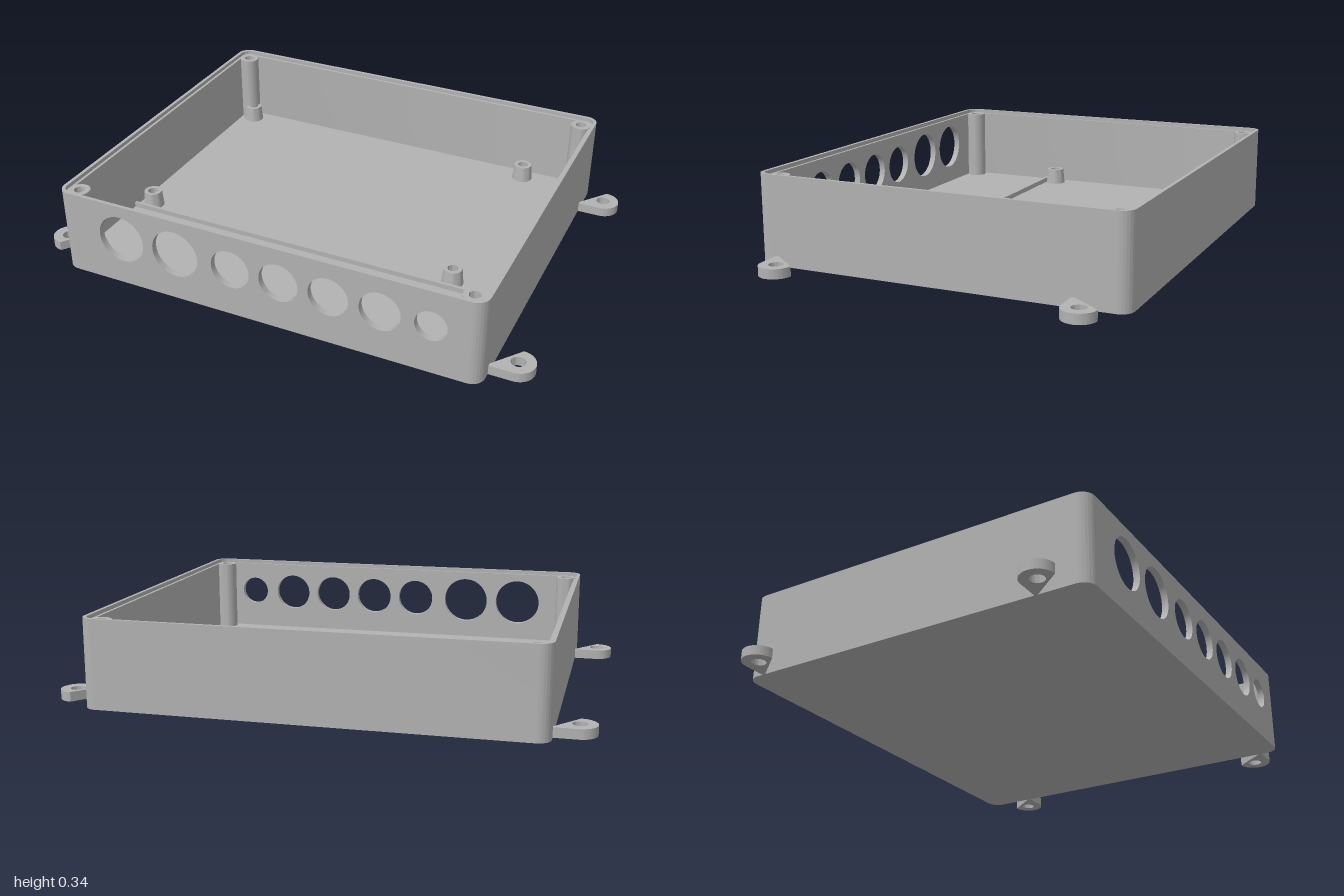
import * as THREE from 'three';
import { toCreasedNormals } from 'three/addons/utils/BufferGeometryUtils.js';

const W = 0.85, D = 0.72, H = 0.34, R = 0.05; // half width, half depth, height, corner radius
const FLOOR = 0.03, WALL = 0.025, LIP = 0.014, STEP = 0.325, JOIN = 0.78;

const plastic = new THREE.MeshStandardMaterial({ color: 0xb2b2b2 });
plastic.name = 'grey plastic';

function part(name, geometry) {
  const mesh = new THREE.Mesh(toCreasedNormals(geometry, 0.6), plastic);
  mesh.name = name;
  return mesh;
}

// Extrudes a plan drawn in x and z upwards from y0 to y1
function slab(shape, y0, y1) {
  return new THREE.ExtrudeGeometry(shape, { depth: y1 - y0, bevelEnabled: false, curveSegments: 16 })
    .rotateX(Math.PI / 2).translate(0, y1, 0);
}

function circle(x, y, r) {
  return new THREE.Path().absarc(x, y, r, 0, Math.PI * 2, true);
}

// Rounded rectangle, inset from the outer face of the box
function roundedPlan(inset, PathType) {
  const w = W - inset, d = D - inset, r = R - inset;
  const p = new PathType();
  p.absarc(w - r, d - r, r, 0, Math.PI / 2, false);
  p.absarc(r - w, d - r, r, Math.PI / 2, Math.PI, false);
  p.absarc(r - w, r - d, r, Math.PI, Math.PI * 1.5, false);
  p.absarc(w - r, r - d, r, Math.PI * 1.5, Math.PI * 2, false);
  p.closePath();
  return p;
}

// Side and back walls as one strip that leaves the front open
function wallStrip() {
  const s = new THREE.Shape();
  const w = W - R, d = D - R, r = R - WALL, q = Math.PI / 2;
  s.moveTo(JOIN, D);
  s.lineTo(JOIN, D - WALL);
  s.absarc(w, d, r, q, 0, true);
  s.absarc(w, -d, r, 0, -q, true);
  s.absarc(-w, -d, r, -q, -2 * q, true);
  s.absarc(-w, d, r, 2 * q, q, true);
  s.lineTo(-JOIN, D - WALL);
  s.lineTo(-JOIN, D);
  s.absarc(-w, d, R, q, 2 * q, false);
  s.absarc(-w, -d, R, 2 * q, 3 * q, false);
  s.absarc(w, -d, R, 3 * q, 4 * q, false);
  s.absarc(w, d, R, 0, q, false);
  s.closePath();
  return s;
}

// Front wall with a row of cable holes
function frontWall() {
  const s = new THREE.Shape();
  s.moveTo(-JOIN, FLOOR);
  s.lineTo(JOIN, FLOOR);
  s.lineTo(JOIN, STEP);
  s.lineTo(-JOIN, STEP);
  s.closePath();
  const holes = [[-0.575, 0.096], [-0.342, 0.096], [-0.11, 0.078], [0.085, 0.078],
    [0.28, 0.078], [0.476, 0.078], [0.663, 0.06]];
  for (const [x, r] of holes) s.holes.push(circle(x, 0.197, r));
  return new THREE.ExtrudeGeometry(s, { depth: WALL, bevelEnabled: false, curveSegments: 24 })
    .translate(0, 0, D - WALL);
}

// Round pillar with a blind screw hole
function pillar(bottomR, topR, holeR, top, holeDepth) {
  const points = [[bottomR, FLOOR], [topR, top], [holeR, top], [holeR, top - holeDepth], [0, top - holeDepth]];
  return new THREE.LatheGeometry(points.map(([x, y]) => new THREE.Vector2(x, y)), 32);
}

// Mounting ear with a round end and a screw hole
function ear(side) {
  const s = new THREE.Shape();
  const r = 0.063, cx = 0.937, root = 0.84;
  if (side > 0) {
    s.moveTo(root, -r);
    s.absarc(cx, 0, r, -Math.PI / 2, Math.PI / 2, false);
    s.lineTo(root, r);
  } else {
    s.moveTo(-root, r);
    s.absarc(-cx, 0, r, Math.PI / 2, Math.PI * 1.5, false);
    s.lineTo(-root, -r);
  }
  s.closePath();
  s.holes.push(circle(side * cx, 0, 0.027));
  return slab(s, 0, 0.037);
}

export function createModel() {
  const model = new THREE.Group();
  model.name = 'enclosure';

  // Shell
  model.add(part('floor', slab(roundedPlan(0, THREE.Shape), 0, FLOOR)));
  model.add(part('sideAndBackWalls', slab(wallStrip(), FLOOR, STEP)));
  model.add(part('frontWall', frontWall()));
  const rim = roundedPlan(0, THREE.Shape);
  rim.holes.push(roundedPlan(LIP, THREE.Path));
  model.add(part('rim', slab(rim, STEP, H)));

  // Corner screw posts and mounting ears
  for (const sx of [-1, 1]) {
    for (const sz of [-1, 1]) {
      const post = part('cornerPost', pillar(0.041, 0.041, 0.021, STEP + 0.002, 0.15));
      post.position.set(sx * 0.79, 0, sz * 0.66);
      const lug = part('mountingEar', ear(sx));
      lug.position.z = sz * 0.581;
      model.add(post, lug);
    }
  }

  // Circuit board standoffs
  for (const x of [-0.765, 0.565]) {
    for (const z of [-0.637, 0.229]) {
      const standoff = part('standoff', pillar(0.042, 0.036, 0.021, 0.095, 0.05));
      standoff.position.set(x, 0, z);
      model.add(standoff);
    }
  }

  // Low ridge across the floor
  const ridge = part('floorRidge', new THREE.BoxGeometry(2 * (W - WALL) + 0.01, 0.025, 0.012));
  ridge.position.set(0, FLOOR + 0.0075, 0.276);
  model.add(ridge);

  return model;
}
